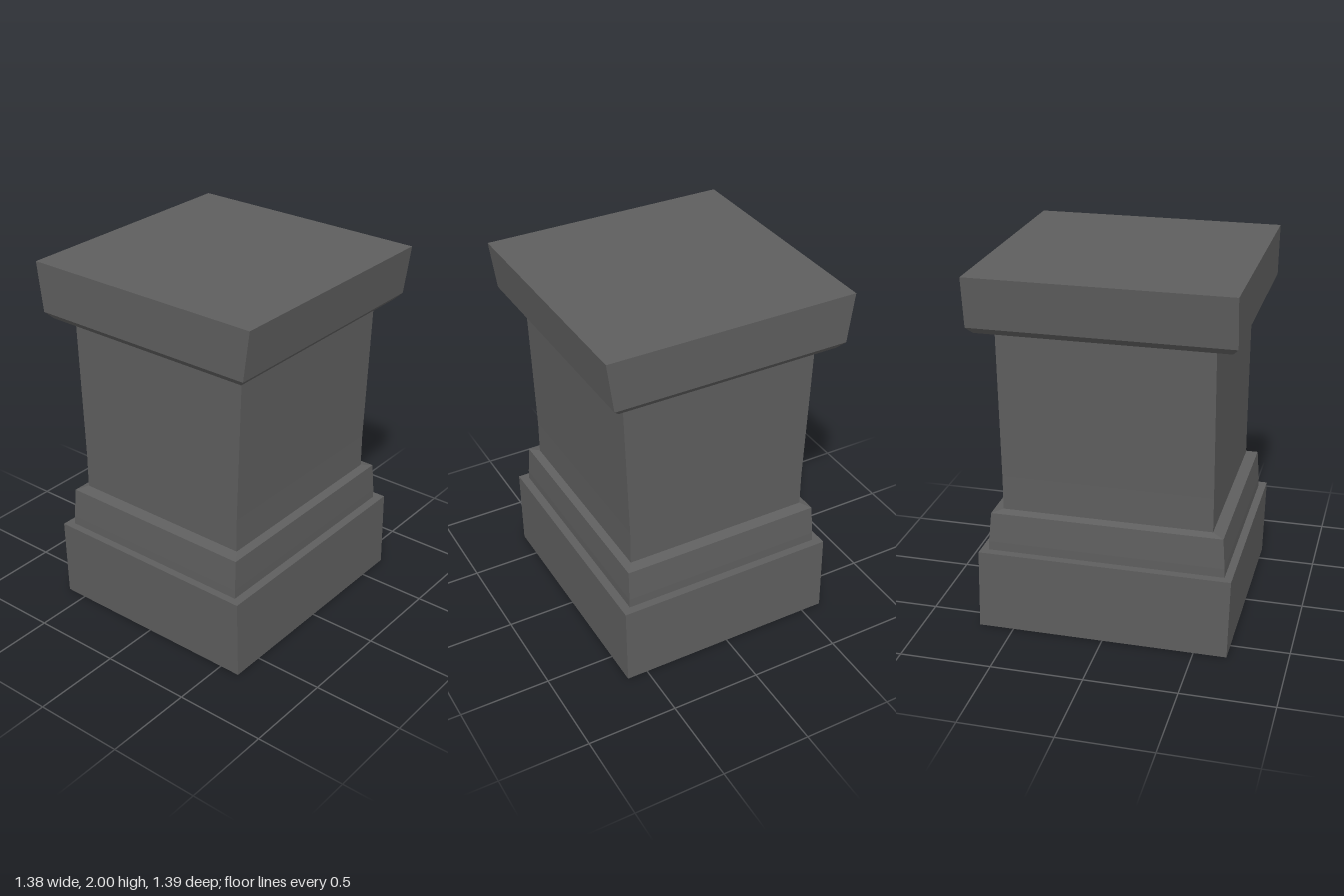
import * as THREE from 'three';

const stone = new THREE.MeshStandardMaterial({ color: 0x5e5e5e });
stone.name = 'dark grey stone';

// Closed rectangular loft; each ring is [y, xMin, xMax, zMin, zMax], bottom to top
function loft(name, rings) {
  const pos = [];
  const corners = rings.map(([y, x0, x1, z0, z1]) => [
    [x0, y, z1], [x1, y, z1], [x1, y, z0], [x0, y, z0],
  ]);
  const quad = (a, b, c, d) => pos.push(...a, ...b, ...c, ...a, ...c, ...d);
  for (let i = 0; i < corners.length - 1; i++) {
    const lo = corners[i], hi = corners[i + 1];
    for (let k = 0; k < 4; k++) {
      const n = (k + 1) % 4;
      quad(lo[k], lo[n], hi[n], hi[k]);
    }
  }
  const [b0, b1, b2, b3] = corners[0];
  quad(b3, b2, b1, b0);
  quad(...corners[corners.length - 1]);
  const geometry = new THREE.BufferGeometry();
  geometry.setAttribute('position', new THREE.Float32BufferAttribute(pos, 3));
  geometry.computeVertexNormals();
  const mesh = new THREE.Mesh(geometry, stone);
  mesh.name = name;
  return mesh;
}

export function createModel() {
  const group = new THREE.Group();
  group.name = 'pedestal';

  // Base block, leaning slightly forward
  group.add(loft('base', [
    [0, -0.619, 0.616, -0.692, 0.679],
    [0.45, -0.619, 0.616, -0.681, 0.69],
  ]));

  // Stepped moulding with a bevelled top edge
  group.add(loft('moulding', [
    [0.45, -0.573, 0.569, -0.637, 0.648],
    [0.5, -0.573, 0.569, -0.635, 0.647],
    [0.667, -0.566, 0.563, -0.619, 0.635],
    [0.68, -0.524, 0.52, -0.562, 0.573],
  ]));

  // Shaft, widening sideways towards the top
  group.add(loft('shaft', [
    [0.68, -0.524, 0.52, -0.562, 0.573],
    [0.87, -0.524, 0.52, -0.562, 0.573],
    [1.695, -0.552, 0.548, -0.562, 0.573],
  ]));

  // Cap slab with a chamfered underside and flared sides
  group.add(loft('cap', [
    [1.693, -0.617, 0.614, -0.651, 0.662],
    [1.73, -0.654, 0.649, -0.681, 0.694],
    [2, -0.689, 0.686, -0.681, 0.694],
  ]));

  return group;
}
